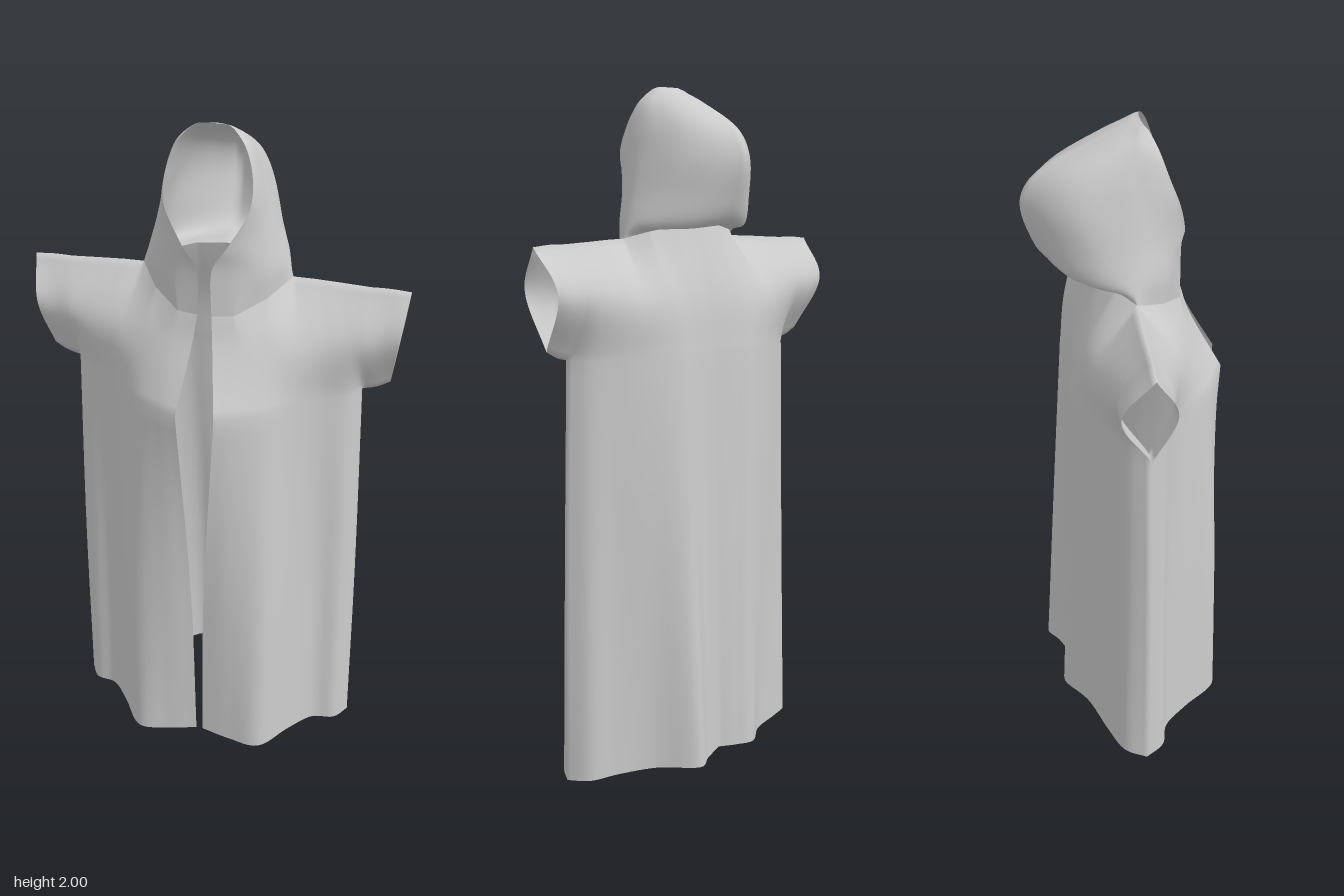
import * as THREE from 'three';
import { mergeGeometries, mergeVertices } from 'three/addons/utils/BufferGeometryUtils.js';

// Tension 0 gives straight seams, 0.5 smooth cloth
const curve = (pts, tension = 0.5) => new THREE.CatmullRomCurve3(pts, false, 'catmullrom', tension);

// Smooth sheet through rows of [x, y, z] points; side -1 mirrors it, flip turns it over.
// seamRow is the row sewn to another sheet along straight segments.
function sheet(rows, nu, nv, side, { flip = false, seamRow = -1 } = {}) {
  const across = rows.map((r, k) => curve(r.map(p => new THREE.Vector3(...p)), k === seamRow ? 0 : 0.5));
  const pos = [], idx = [];
  for (let i = 0; i <= nu; i++) {
    const column = curve(across.map(c => c.getPoint(i / nu)));
    for (let j = 0; j <= nv; j++) {
      const p = column.getPoint(j / nv);
      pos.push(p.x * side, p.y, p.z);
    }
  }
  for (let i = 0; i < nu; i++) for (let j = 0; j < nv; j++) {
    const a = i * (nv + 1) + j, b = a + nv + 1;
    if ((side < 0) !== flip) idx.push(a, a + 1, b, b, a + 1, b + 1);
    else idx.push(a, b, a + 1, b, b + 1, a + 1);
  }
  const g = new THREE.BufferGeometry();
  g.setAttribute('position', new THREE.Float32BufferAttribute(pos, 3));
  g.setIndex(idx);
  return g;
}

function clothMesh(name, sheets) {
  const g = mergeVertices(mergeGeometries(sheets), 1e-4);
  g.computeVertexNormals();
  const mesh = new THREE.Mesh(g, new THREE.MeshStandardMaterial({ color: 0xcccccc, side: THREE.DoubleSide }));
  mesh.name = name;
  return mesh;
}

// A level row from [x, z] pairs
const level = (y, pts) => pts.map(([x, z]) => [x, y, z]);

// Front panel, from the open edge out to the side
const frontHem = [[0.01, 0.045, 0.25], [0.1, 0.035, 0.264], [0.2, 0.03, 0.268], [0.275, 0.025, 0.165], [0.34, 0.018, 0.085], [0.41, 0.01, 0.06], [0.447, 0.002, 0]];
const frontMid = level(0.62, [[0.02, 0.26], [0.1, 0.266], [0.2, 0.245], [0.265, 0.155], [0.33, 0.08], [0.4, 0.052], [0.44, 0]]);
const frontChest = level(1.24, [[0.055, 0.275], [0.11, 0.25], [0.185, 0.205], [0.255, 0.135], [0.32, 0.085], [0.39, 0.045], [0.425, -0.005]]);
const frontYoke = level(1.41, [[0.03, 0.185], [0.1, 0.17], [0.17, 0.145], [0.25, 0.112], [0.31, 0.092], [0.37, 0.078], [0.425, 0.066]]);
const shoulder = [[0.215, 1.57, 0], [0.28, 1.568, -0.003], [0.35, 1.564, -0.005], [0.43, 1.56, -0.005]];
const frontNeck = [[0.02, 1.5, 0.155], [0.08, 1.5, 0.142], [0.16, 1.535, 0.08]];

// Back panel, from the centre out to the side; the folds hang differently on each side
const backHem = {
  '1': [[0, 0.03, -0.18], [0.08, 0.03, -0.215], [0.145, 0.03, -0.247], [0.23, 0.025, -0.155], [0.33, 0.018, -0.1], [0.41, 0.01, -0.065], [0.447, 0.002, 0]],
  '-1': [[0, 0.03, -0.18], [0.05, 0.03, -0.205], [0.11, 0.03, -0.22], [0.2, 0.025, -0.155], [0.32, 0.018, -0.11], [0.41, 0.01, -0.068], [0.447, 0.002, 0]],
};
const backMid = {
  '1': level(0.62, [[0, -0.17], [0.08, -0.19], [0.15, -0.21], [0.24, -0.15], [0.33, -0.095], [0.4, -0.06], [0.44, 0]]),
  '-1': level(0.62, [[0, -0.17], [0.06, -0.185], [0.12, -0.195], [0.22, -0.15], [0.325, -0.1], [0.4, -0.06], [0.44, 0]]),
};
const backChest = level(1.24, [[0, -0.16], [0.08, -0.168], [0.15, -0.17], [0.25, -0.135], [0.33, -0.095], [0.39, -0.055], [0.425, -0.005]]);
const backYoke = level(1.41, [[0, -0.145], [0.08, -0.148], [0.16, -0.145], [0.25, -0.125], [0.31, -0.112], [0.37, -0.1], [0.425, -0.09]]);
const backNeck = [[0, 1.61, -0.09], [0.08, 1.605, -0.082], [0.16, 1.59, -0.05]];

// Sleeve: front or back half, from the armhole to the cuff
const sleeve = (yoke, cuffZ) => [
  [frontChest[6], [0.465, 1.25, -0.007], [0.503, 1.27, -0.01]],
  [yoke[6], [0.475, 1.415, cuffZ], [0.525, 1.43, cuffZ]],
  [shoulder[3], [0.485, 1.56, -0.007], [0.542, 1.555, -0.01]],
];

// Hood rows, each from the face edge round the side to the centre of the back
const hoodRows = [
  [...frontNeck, shoulder[0], ...[...backNeck].reverse()],
  [[0.02, 1.63, 0.155], [0.1, 1.62, 0.128], [0.165, 1.615, 0.075], [0.2, 1.62, -0.01], [0.175, 1.61, -0.09], [0.1, 1.605, -0.165], [0, 1.615, -0.21]],
  level(1.7, [[0.06, 0.155], [0.11, 0.125], [0.155, 0.065], [0.175, -0.01], [0.155, -0.11], [0.09, -0.2], [0, -0.262]]),
  level(1.8, [[0.115, 0.13], [0.13, 0.1], [0.143, 0.05], [0.148, -0.02], [0.13, -0.13], [0.08, -0.21], [0, -0.278]]),
  level(1.88, [[0.118, 0.1], [0.124, 0.07], [0.127, 0.03], [0.123, -0.03], [0.1, -0.12], [0.06, -0.18], [0, -0.222]]),
  level(1.95, [[0.095, 0.075], [0.1, 0.06], [0.1, 0.03], [0.09, 0], [0.07, -0.04], [0.04, -0.07], [0, -0.085]]),
  level(1.988, [[0.062, 0.055], [0.062, 0.045], [0.057, 0.03], [0.047, 0.02], [0.033, 0.012], [0.02, 0.005], [0, 0]]),
  level(2, [[0.04, 0.043], [0.036, 0.043], [0.03, 0.042], [0.022, 0.041], [0.015, 0.04], [0.008, 0.04], [0, 0.04]]),
];

export function createModel() {
  const group = new THREE.Group();
  group.name = 'hoodedRobe';
  const robe = [], hood = [];
  for (const side of [1, -1]) {
    robe.push(
      // Long skirt of the robe
      sheet([frontHem, frontMid, frontChest], 36, 24, side),
      sheet([backHem[side], backMid[side], backChest], 36, 24, side, { flip: true }),
      // Chest, upper back and shoulders
      sheet([frontChest, frontYoke, [...frontNeck, ...shoulder]], 36, 16, side, { seamRow: 2 }),
      sheet([backChest, backYoke, [...backNeck, ...shoulder]], 36, 16, side, { flip: true, seamRow: 2 }),
      // Short open sleeves
      sheet(sleeve(frontYoke, 0.053), 8, 16, side),
      sheet(sleeve(backYoke, -0.095), 8, 16, side, { flip: true }),
    );
    hood.push(sheet(hoodRows, 36, 42, side, { seamRow: 0 }));
  }
  group.add(clothMesh('robe', robe), clothMesh('hood', hood));
  return group;
}
